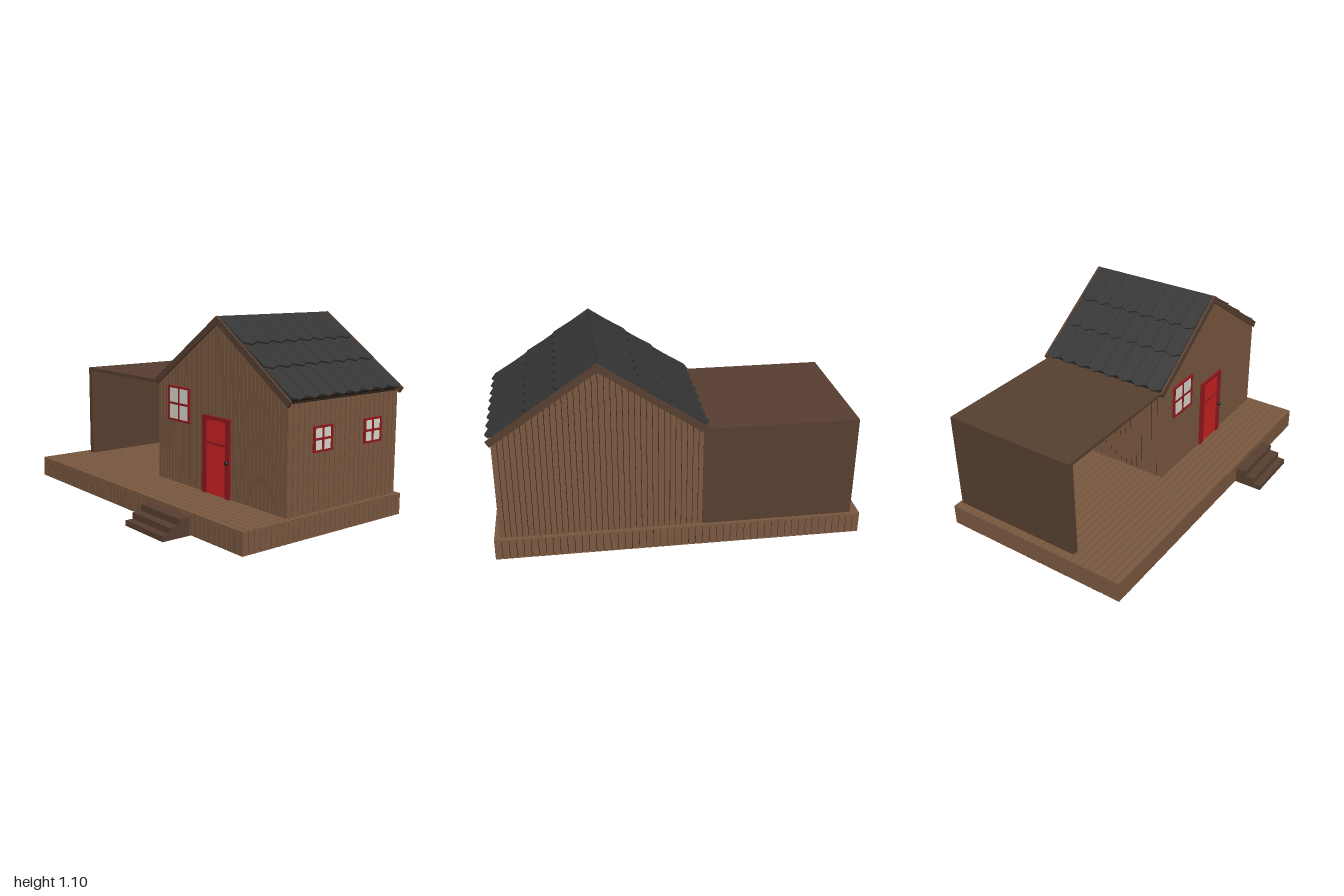
import * as THREE from 'three';
import { mergeGeometries } from 'three/addons/utils/BufferGeometryUtils.js';

const mat = (color) => new THREE.MeshStandardMaterial({ color });
const WOOD = mat(0x7a5840), DARK = mat(0x573f30), GAP = mat(0x2b1f17), SLATE = mat(0x353535);
const RED = mat(0xcc2222), FRAME = mat(0x8f1a1f), PANE = mat(0xd9d8cc), BLACK = mat(0x151515);

// Box from its minimum and maximum corners
function box(x0, x1, y0, y1, z0, z1) {
  return new THREE.BoxGeometry(x1 - x0, y1 - y0, z1 - z0)
    .translate((x0 + x1) / 2, (y0 + y1) / 2, (z0 + z1) / 2);
}

function part(parent, name, geos, material) {
  const list = Array.isArray(geos) ? geos : [geos];
  const mesh = new THREE.Mesh(list.length > 1 ? mergeGeometries(list) : list[0], material);
  mesh.name = name;
  parent.add(mesh);
  return mesh;
}

// Split a..b into n boards with a gap between them
function boards(a, b, n, gap, make) {
  const w = (b - a) / n;
  return Array.from({ length: n }, (_, i) => make(a + i * w + gap / 2, a + (i + 1) * w - gap / 2));
}

const RIDGE_X = 0.425, RIDGE_Y = 1.1, SLOPE = 0.684, ANGLE = Math.atan(SLOPE);
const wallTop = (x) => 1.07 - SLOPE * Math.abs(x - RIDGE_X);

// Upright slab between z0 and z1 from an outline in x and y
function slab(points, z0, z1) {
  const shape = new THREE.Shape(points.map(([x, y]) => new THREE.Vector2(x, y)));
  return new THREE.ExtrudeGeometry(shape, { depth: z1 - z0, bevelEnabled: false }).translate(0, 0, z0);
}

function makeDeck() {
  const g = new THREE.Group();
  g.name = 'deck';
  part(g, 'deckCore', box(-0.993, 0.993, 0.005, 0.119, -0.648, 0.483), GAP);
  part(g, 'deckPlanks', boards(-0.655, 0.49, 29, 0.003, (a, b) => box(-1, 1, 0.115, 0.125, a, b)), WOOD);
  const skirt = [];
  for (const [z0, z1] of [[0.48, 0.49], [-0.655, -0.645]])
    skirt.push(...boards(-1, 1, 52, 0.003, (a, b) => box(a, b, 0.006, 0.115, z0, z1)));
  for (const [x0, x1] of [[-1, -0.99], [0.99, 1]])
    skirt.push(...boards(-0.655, 0.49, 31, 0.005, (a, b) => box(x0, x1, 0.006, 0.115, a, b)));
  part(g, 'deckSkirt', skirt, WOOD);
  const steps = [[0.1, 0.555], [0.065, 0.61], [0.03, 0.655]];
  part(g, 'steps', steps.map(([y, z]) => box(0.245, 0.585, 0, y, 0.47, z)), DARK);
  return g;
}

function makeWalls() {
  const g = new THREE.Group();
  g.name = 'cabinWalls';
  const core = [[-0.114, 0.12], [0.964, 0.12], [0.964, wallTop(0.964)], [RIDGE_X, 1.07], [-0.114, wallTop(-0.114)]];
  part(g, 'wallCore', slab(core, -0.629, 0.174), GAP);
  // Gable boards follow the roof line; the ridge falls on a board joint
  for (const [name, z0, z1] of [['frontBoards', 0.172, 0.18], ['backBoards', -0.635, -0.627]])
    part(g, name, boards(-0.12, 0.97, 36, 0.003, (a, b) =>
      slab([[a, 0.125], [b, 0.125], [b, wallTop(b)], [a, wallTop(a)]], z0, z1)), WOOD);
  for (const [name, x0, x1] of [['leftBoards', 0.962, 0.97], ['rightBoards', -0.12, -0.112]])
    part(g, name, boards(-0.635, 0.18, 22, 0.005, (a, b) => box(x0, x1, 0.125, 0.695, a, b)), WOOD);
  return g;
}

// Chevron-ended slate: length along +x, width along z, thickness up
function tileGeometry(length) {
  const w = 0.0495, tip = 0.022;
  const shape = new THREE.Shape([[0, -w], [length - tip, -w], [length, 0], [length - tip, w], [0, w]]
    .map(([x, y]) => new THREE.Vector2(x, y)));
  return new THREE.ExtrudeGeometry(shape, { depth: 0.01, bevelEnabled: false })
    .rotateX(-Math.PI / 2).rotateZ(0.014 / length);
}

function makeRoofSide(name, turn) {
  const side = new THREE.Group(), slope = new THREE.Group();
  side.name = name;
  slope.name = name + 'Slope';
  side.rotation.y = turn;
  slope.rotation.z = -ANGLE;
  side.add(slope);
  part(slope, 'roofDeck', box(0, 0.665, -0.035, -0.012, -0.409, 0.409), GAP);
  // Three overlapping rows of eight slates
  const tiles = [];
  for (const [start, end] of [[0, 0.26], [0.2, 0.452], [0.39, 0.69]])
    for (let i = 0; i < 8; i++)
      tiles.push(tileGeometry(end - start).translate(start, -0.012, (i - 3.5) * 0.102));
  part(slope, 'slates', tiles, SLATE);
  part(slope, 'bargeboards', [[0.409, 0.423], [-0.423, -0.409]]
    .map(([a, b]) => box(0, 0.69, -0.036, 0, a, b)), DARK);
  return side;
}

function makeRoof() {
  const g = new THREE.Group();
  g.name = 'roof';
  g.add(makeRoofSide('leftRoof', 0), makeRoofSide('rightRoof', Math.PI));
  g.position.set(RIDGE_X, RIDGE_Y, -0.2325);
  return g;
}

// Four-pane square window facing +z
function makeWindow(name, size) {
  const g = new THREE.Group(), h = size / 2, t = 0.011, m = 0.006;
  g.name = name;
  part(g, 'panes', box(-h + t / 2, h - t / 2, -h + t / 2, h - t / 2, -0.004, 0.005), PANE);
  part(g, 'windowFrame', [
    box(-h, h, h - t, h, -0.004, 0.011), box(-h, h, -h, -h + t, -0.004, 0.011),
    box(-h, -h + t, -h + t, h - t, -0.004, 0.011), box(h - t, h, -h + t, h - t, -0.004, 0.011),
    box(-m, m, -h + t, h - t, -0.004, 0.009), box(-h + t, h - t, -m, m, -0.004, 0.009),
  ], FRAME);
  return g;
}

function makeDoor() {
  const g = new THREE.Group();
  g.name = 'door';
  part(g, 'doorFrame', [
    box(0.308, 0.345, 0.125, 0.56, 0.17, 0.193), box(0.507, 0.543, 0.125, 0.56, 0.17, 0.193),
    box(0.345, 0.507, 0.54, 0.56, 0.17, 0.193), box(0.345, 0.507, 0.405, 0.417, 0.17, 0.19),
  ], FRAME);
  part(g, 'doorPanel', box(0.345, 0.507, 0.125, 0.54, 0.17, 0.186), RED);
  part(g, 'doorKnob', new THREE.SphereGeometry(0.012, 16, 12).translate(0.523, 0.325, 0.197), BLACK);
  return g;
}

// Open-fronted shelter beside the cabin
function makeShelter() {
  const g = new THREE.Group();
  g.name = 'shelter';
  part(g, 'shelterRoof', box(-0.95, -0.115, 0.68, 0.7, -0.637, 0.165), DARK);
  part(g, 'shelterSideWall', box(-0.95, -0.915, 0.12, 0.68, -0.637, 0.165), DARK);
  part(g, 'shelterBackWall', box(-0.915, -0.115, 0.12, 0.68, -0.637, -0.61), DARK);
  return g;
}

export function createModel() {
  const model = new THREE.Group();
  model.name = 'cabin';
  model.add(makeDeck(), makeWalls(), makeRoof(), makeDoor(), makeShelter());

  const front = makeWindow('frontWindow', 0.2);
  front.position.set(0.09, 0.587, 0.182);
  model.add(front);
  for (const z of [-0.06, -0.435]) {
    const w = makeWindow('sideWindow', 0.135);
    w.position.set(0.97, 0.502, z);
    w.rotation.y = Math.PI / 2;
    model.add(w);
  }
  return model;
}
